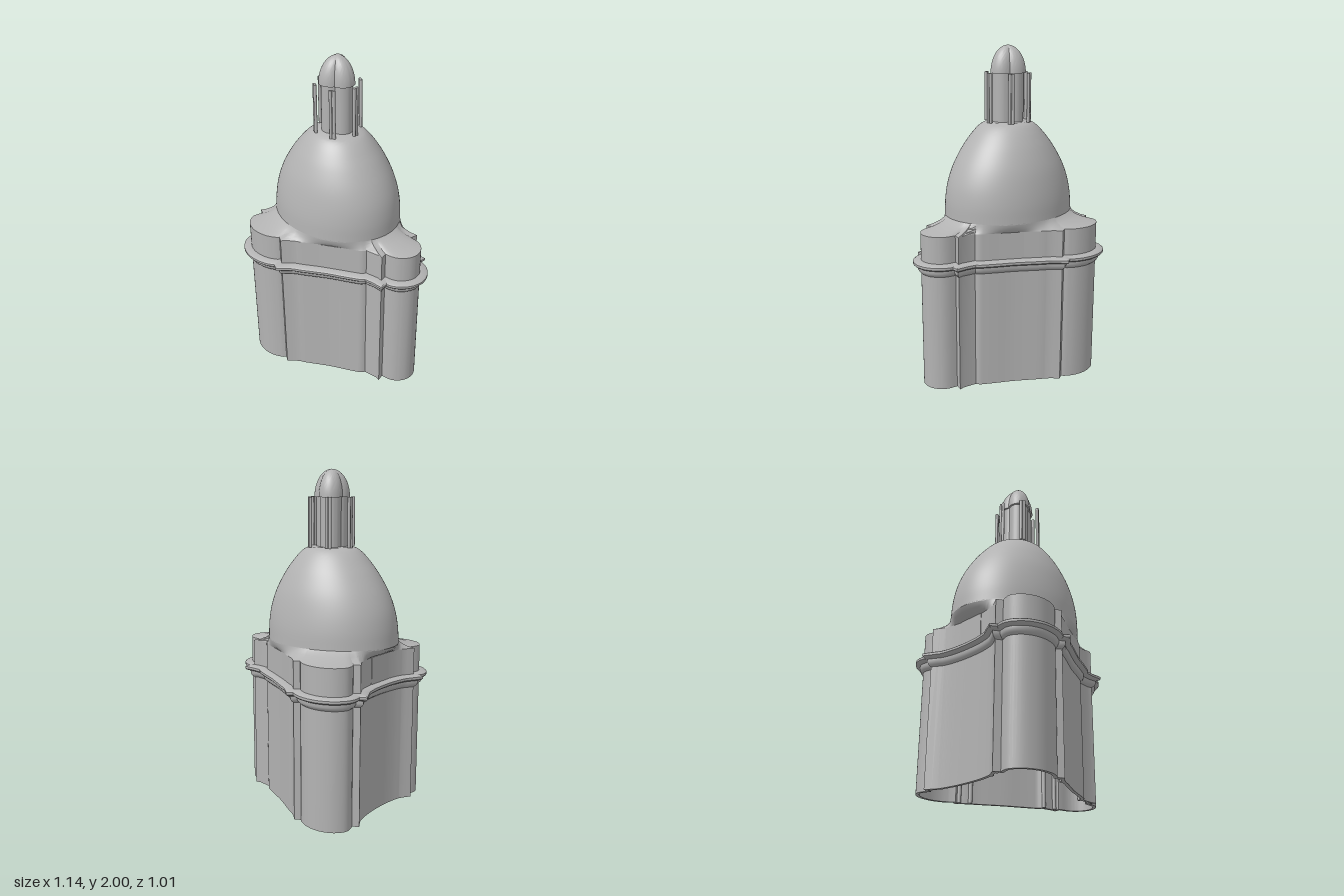
import * as THREE from 'three';
import { toCreasedNormals } from 'three/addons/utils/BufferGeometryUtils.js';

const stone = new THREE.MeshStandardMaterial({ color: 0xb3b3b3, side: THREE.DoubleSide });
stone.name = 'grey stone';
const CX = -0.105; // axis of the lantern

function add(parent, name, geometry) {
  const mesh = new THREE.Mesh(geometry, stone);
  mesh.name = name;
  parent.add(mesh);
  return mesh;
}

// Skin a stack of closed rings, each an array of [x, y, z]
function loft(rings, crease = 0.6) {
  const n = rings[0].length, pos = [], index = [];
  for (const ring of rings) for (const p of ring) pos.push(...p);
  for (let j = 0; j < rings.length - 1; j++) {
    for (let i = 0; i < n; i++) {
      const a = j * n + i, b = j * n + (i + 1) % n;
      index.push(a, a + n, b, b, a + n, b + n);
    }
  }
  const g = new THREE.BufferGeometry();
  g.setAttribute('position', new THREE.Float32BufferAttribute(pos, 3));
  g.setIndex(index);
  return toCreasedNormals(g, crease);
}

// Half of the three-lobed plan, as smooth or straight runs that meet at corners
const RUNS = [
  { smooth: true, pts: [[0.515, 0], [0.507, 0.04], [0.485, 0.075], [0.455, 0.1], [0.42, 0.113], [0.375, 0.118]] },
  { pts: [[0.385, 0.162], [0.355, 0.155], [0.27, 0.165], [0.262, 0.178]] },
  { smooth: true, pts: [[0.25, 0.19], [0.17, 0.23], [0.08, 0.272], [0, 0.317], [-0.07, 0.358], [-0.105, 0.375]] },
  { pts: [[-0.135, 0.395], [-0.175, 0.432], [-0.207, 0.41]] },
  { smooth: true, pts: [[-0.222, 0.425], [-0.27, 0.449], [-0.33, 0.46], [-0.39, 0.455], [-0.45, 0.43], [-0.49, 0.39], [-0.505, 0.35], [-0.495, 0.305]] },
  { pts: [[-0.488, 0.292], [-0.525, 0.272], [-0.502, 0.235]] },
  { smooth: true, pts: [[-0.485, 0.205], [-0.472, 0.15], [-0.463, 0.08], [-0.46, 0]] },
];

function planOutline() {
  const half = [];
  for (const { smooth, pts } of RUNS) {
    if (!smooth) { half.push(...pts); continue; }
    const curve = new THREE.SplineCurve(pts.map(p => new THREE.Vector2(...p)));
    half.push(...curve.getPoints(20).map(v => [v.x, v.y]));
  }
  const mirrored = half.slice(1, -1).reverse().map(([x, z]) => [x, -z]);
  return [...half, ...mirrored];
}
const PLAN = planOutline();

// The plan pushed outward by d, at height y
function planRing(d, y) {
  const n = PLAN.length;
  return PLAN.map(([x, z], i) => {
    const p = PLAN[(i + n - 1) % n], q = PLAN[(i + 1) % n];
    const e1 = new THREE.Vector2(z - p[1], p[0] - x).normalize();
    const e2 = new THREE.Vector2(q[1] - z, x - q[0]).normalize();
    const m = e1.clone().add(e2).normalize();
    const s = d / Math.max(0.8, m.dot(e1));
    return [x + m.x * s, y, z + m.y * s];
  });
}

// Dome cross-section: [height, half-width in x, half-width in z]
const DOME = [[1.0, 0.417, 0.34], [1.1, 0.412, 0.334], [1.2, 0.393, 0.318], [1.3, 0.353, 0.292],
  [1.4, 0.293, 0.25], [1.46, 0.247, 0.216], [1.51, 0.202, 0.18], [1.54, 0.165, 0.15], [1.555, 0.13, 0.122]];

function domeRing([y, rx, rz], n = 96) {
  const cx = y < 1.3 ? -0.117 : CX - 0.003;
  return Array.from({ length: n }, (_, i) => {
    const a = i / n * Math.PI * 2;
    return [cx + rx * Math.cos(a), y, rz * Math.sin(a)];
  });
}

// Three-lobed ring of the lantern
function lobedRing(y, scale, n = 72) {
  return Array.from({ length: n }, (_, i) => {
    const a = i / n * Math.PI * 2;
    const r = scale * (0.08 + 0.03 * Math.abs(Math.cos(1.5 * a)));
    return [CX + r * Math.cos(a), y, r * Math.sin(a)];
  });
}

export function createModel() {
  const model = new THREE.Group();
  model.name = 'domedChapel';

  // Hollow walls with a lip at the foot
  add(model, 'walls', loft([planRing(-0.02, 0.95), planRing(-0.02, 0), planRing(0, 0), planRing(0, 0.95)]));

  // Stepped cornice
  const profile = [[0, 0.71], [0.012, 0.72], [0.02, 0.735], [0.02, 0.752], [0.038, 0.758],
    [0.046, 0.766], [0.046, 0.78], [0.038, 0.786], [0, 0.79]];
  add(model, 'cornice', loft(profile.map(([d, y]) => planRing(d, y))));

  // Roof sweeping from the wall head up to the dome
  const head = planRing(0, 0.95);
  const roof = [[0, 0.95], [0.35, 0.96], [0.7, 0.977], [0.9, 0.992], [1, 1.005]].map(([t, y]) =>
    head.map(([x, , z]) => {
      const a = Math.atan2(z / 0.34, (x + 0.117) / 0.417);
      const ex = -0.117 + 0.417 * Math.cos(a), ez = 0.34 * Math.sin(a);
      return [x + (ex - x) * t, y, z + (ez - z) * t];
    }));
  add(model, 'roof', loft(roof));

  // Flat panels under the dome, one on each concave side
  for (const [x, z, angle] of [[0.08, 0.27, 0.47], [0.08, -0.27, Math.PI - 0.47], [-0.462, 0, -Math.PI / 2]]) {
    const panel = add(model, 'wallPanel', new THREE.BoxGeometry(0.17, 0.16, 0.009));
    panel.position.set(x, 0.87, z);
    panel.rotation.y = angle;
  }

  // Slender shafts inside the corners
  for (const side of [1, -1]) {
    for (const [x, z] of [[0.345, 0.13], [0.265, 0.14], [-0.175, 0.395], [-0.12, 0.36], [-0.488, 0.262], [-0.465, 0.2]]) {
      const shaft = add(model, 'innerShaft', new THREE.CylinderGeometry(0.012, 0.012, 0.75, 12));
      shaft.position.set(x, 0.376, z * side);
    }
  }

  // Dome, elliptical at the foot and round at its flat top
  const spline = new THREE.CatmullRomCurve3(DOME.map(p => new THREE.Vector3(...p)));
  const rings = spline.getPoints(36).map(v => {
    const t = THREE.MathUtils.clamp((v.x - 1) / 0.555, 0, 1);
    return domeRing([v.x, v.y, v.z]).map(([x, y, z]) => [
      x - (v.x < 1.3 ? -0.117 : CX - 0.003) + THREE.MathUtils.lerp(-0.117, CX, t), y, z]);
  });
  rings.push(rings[rings.length - 1].map(([, y]) => [CX, y, 0]));
  add(model, 'dome', loft(rings));

  // Lantern drum and its ribbed cap
  const lantern = new THREE.Group();
  lantern.name = 'lantern';
  model.add(lantern);
  add(lantern, 'drum', loft([lobedRing(1.55, 0.88), lobedRing(1.84, 0.88), lobedRing(1.84, 1)], 0.5));
  const cap = [];
  for (let k = 0; k <= 14; k++) {
    const a = k / 14 * Math.PI / 2;
    cap.push(lobedRing(1.84 + 0.16 * Math.sin(a), Math.cos(a)));
  }
  add(lantern, 'cap', loft(cap, 0.5));

  // Six pairs of columns around the drum
  for (let i = 0; i < 6; i++) {
    const pair = new THREE.Group();
    pair.name = 'columnPair';
    pair.position.set(CX, 1.697, 0);
    pair.rotation.y = i * Math.PI / 3;
    for (const s of [1, -1]) {
      add(pair, 'column', new THREE.CylinderGeometry(0.009, 0.009, 0.29, 16)).position.set(0.135, 0, 0.01 * s);
    }
    add(pair, 'columnWeb', new THREE.BoxGeometry(0.008, 0.29, 0.02)).position.x = 0.135;
    lantern.add(pair);
  }
  return model;
}
